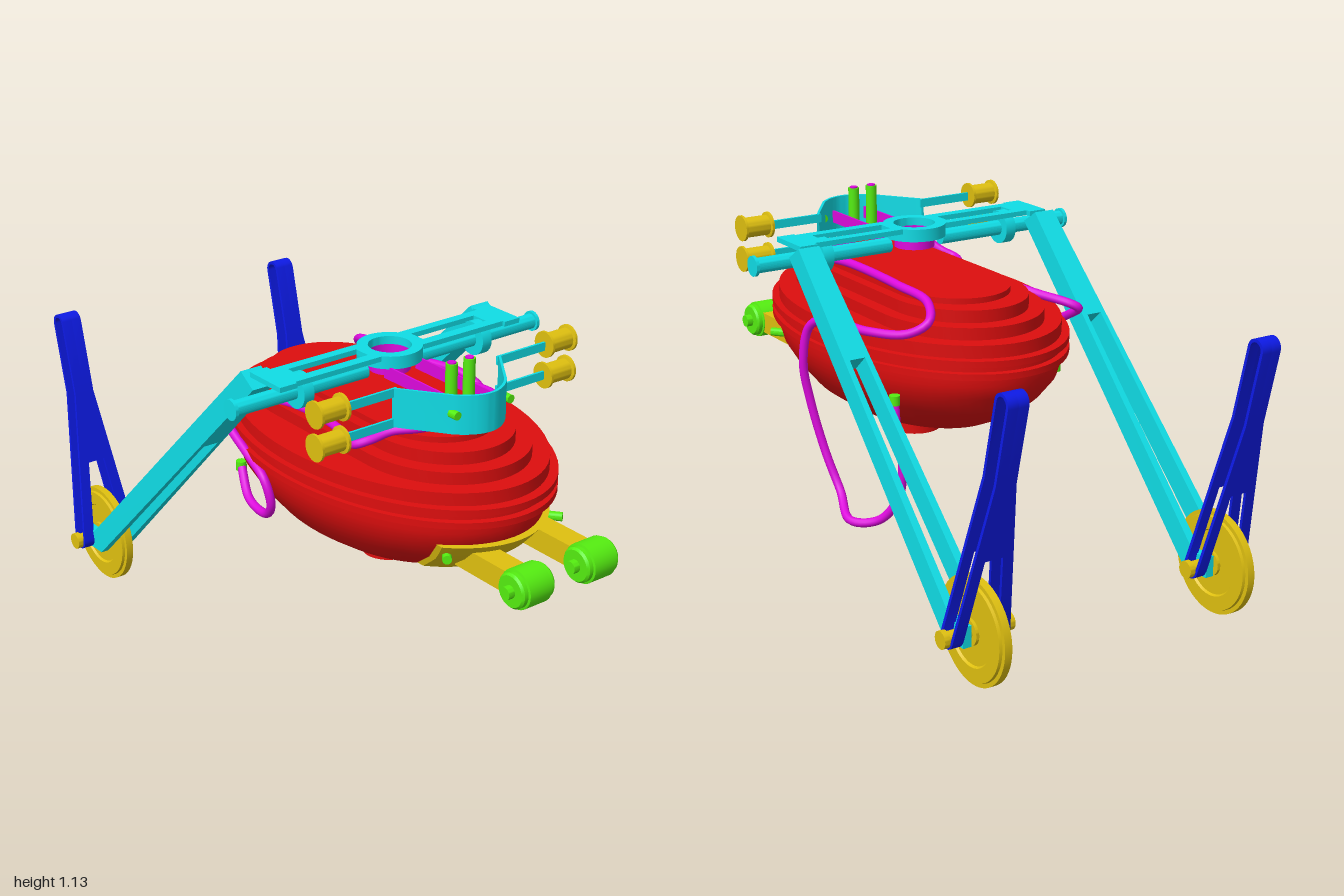
import * as THREE from 'three';
import { toCreasedNormals, mergeGeometries } from 'three/addons/utils/BufferGeometryUtils.js';

const mat = (color) => new THREE.MeshStandardMaterial({ color, side: THREE.DoubleSide });
const lerp = THREE.MathUtils.lerp;

export function createModel() {
  const root = new THREE.Group();
  const cyan = mat(0x10dde6), yellow = mat(0xdfc010), red = mat(0xdd0e0e);
  const blue = mat(0x0d1ae6), green = mat(0x55ee11), magenta = mat(0xdd0add);

  const add = (name, geo, material, x = 0, y = 0, z = 0) => {
    const m = new THREE.Mesh(geo, material);
    m.name = name;
    m.position.set(x, y, z);
    root.add(m);
    return m;
  };
  // profile of [radius, height] pairs turned about y
  const turned = (pts, seg = 32) =>
    toCreasedNormals(new THREE.LatheGeometry(pts.map((p) => new THREE.Vector2(...p)), seg), 0.5);
  // symmetric spool along x from half of its profile [radius, halfLength]
  const spool = (half, seg = 32) => {
    const pts = [...half.map(([r, l]) => [r, -l]), ...half.slice().reverse()];
    return turned(pts, seg).rotateZ(-Math.PI / 2);
  };
  const box = (w, h, d) => new THREE.BoxGeometry(w, h, d);
  // flat shape drawn in x,z and given thickness downward from the top
  const slab = (shape, depth, top) =>
    toCreasedNormals(new THREE.ExtrudeGeometry(shape, { depth, bevelEnabled: false, curveSegments: 24 }), 0.5)
      .rotateX(Math.PI / 2).translate(0, top, 0);
  const poly = (pts) => new THREE.Shape(pts.map((p) => new THREE.Vector2(...p)));
  // strip with a rectangular section; each section is {a: outer [y,z], b: inner [y,z], x0, x1}
  const strip = (sections) => {
    const pos = [], idx = [];
    for (const { a, b, x0, x1 } of sections) pos.push(x0, ...a, x1, ...a, x1, ...b, x0, ...b);
    const quad = (p, q, r, s) => idx.push(p, q, r, p, r, s);
    const n = sections.length - 1;
    for (let i = 0; i < n; i++)
      for (let k = 0; k < 4; k++) {
        const j = (k + 1) % 4, o = i * 4;
        quad(o + k, o + j, o + 4 + j, o + 4 + k);
      }
    quad(0, 3, 2, 1);
    quad(n * 4, n * 4 + 1, n * 4 + 2, n * 4 + 3);
    const g = new THREE.BufferGeometry();
    g.setAttribute('position', new THREE.Float32BufferAttribute(pos, 3));
    g.setIndex(idx);
    return toCreasedNormals(g, 0.5);
  };
  // two mirrored strips making a forked part
  const forked = (sections) => mergeGeometries([
    strip(sections.map((s) => ({ a: s.a, b: s.b, x0: s.inner, x1: s.outer }))),
    strip(sections.map((s) => ({ a: s.a, b: s.b, x0: -s.outer, x1: -s.inner }))),
  ]);

  // oval body with double flange
  const RATIO = 1.575, CZ = 0.2;
  const hull = [[0.1, 0.45], [0.15, 0.46], [0.22, 0.49], [0.29, 0.54], [0.335, 0.595], [0.37, 0.655], [0.38, 0.7]];
  add('body', turned([[0, 0.45], ...hull, [0.38, 0.73], [0.4, 0.73], [0.4, 0.75], [0.385, 0.75], [0.385, 0.77],
    [0.4, 0.77], [0.4, 0.79], [0.38, 0.79], [0.38, 0.83], [0, 0.83]], 72).scale(1, 1, RATIO), red, 0, 0, CZ);

  // stepped lid
  for (const [hx, hz, y0, y1] of [[0.26, 0.54, 0.82, 0.868], [0.215, 0.485, 0.86, 0.907], [0.18, 0.41, 0.9, 0.925]]) {
    const s = new THREE.Shape();
    s.absellipse(0, hz - hx * 1.2, hx, hx * 1.2, 0, Math.PI);
    s.absellipse(0, -(hz - hx * 1.2), hx, hx * 1.2, Math.PI, Math.PI * 2);
    add('lidStep', slab(s, y1 - y0, y1), red, 0, 0, CZ);
  }
  // hollow outlet below
  add('outlet', turned([[0.06, 0.445], [0.06, 0.385], [0.083, 0.385], [0.083, 0.435], [0.097, 0.435], [0.097, 0.46]]), red, 0, 0, 0.21);

  // curved front bracket following the hull
  const hullRadius = (y) => {
    const i = Math.max(1, hull.findIndex((p) => p[1] >= y));
    const [r0, y0] = hull[i - 1], [r1, y1] = hull[i];
    return lerp(r0, r1, (y - y0) / (y1 - y0));
  };
  const bracket = new THREE.BoxGeometry(1, 1, 1, 24, 4, 1);
  const bp = bracket.attributes.position;
  for (let i = 0; i < bp.count; i++) {
    const v = bp.getY(i) + 0.5, y = lerp(0.54, 0.66, v), r = hullRadius(y);
    const x = 0.03 + bp.getX(i) * lerp(0.41, 0.475, v);
    const z = CZ + RATIO * Math.sqrt(Math.max(0, r * r - x * x)) + (bp.getZ(i) > 0 ? 0.025 : -0.01);
    bp.setXYZ(i, x, y, z);
  }
  add('frontBracket', toCreasedNormals(bracket, 0.5), yellow);
  for (const x of [-0.18, 0.237]) {
    const bolt = add('bracketBolt', spool([[0, 0.025], [0.014, 0.025]], 16), green, x, 0.62, 0.7);
    bolt.rotation.y = x < 0 ? 0.9 : -0.9;
  }

  // front rollers on arms
  for (const x of [-0.09, 0.158]) {
    add('rollerArm', box(0.075, 0.07, 0.23), yellow, x, 0.6, 0.79);
    add('roller', spool([[0, 0.083], [0.02, 0.083], [0.02, 0.062], [0.048, 0.062], [0.054, 0.055],
      [0.054, 0.042], [0.061, 0.04]]), green, x, 0.6, 0.939);
  }

  // top frame: ring with slotted plates
  const ring = new THREE.Shape().absarc(0, 0.208, 0.1, 0, Math.PI * 2);
  ring.holes.push(new THREE.Path().absarc(0, 0.208, 0.066, 0, Math.PI * 2, true));
  add('frameRing', slab(ring, 0.04, 1.07), cyan);
  add('ringLiner', new THREE.CylinderGeometry(0.064, 0.064, 0.05, 32, 1, true), magenta, 0, 1.02, 0.208);
  for (const x of [-0.06, 0.06]) add('linkPlate', box(0.006, 0.04, 0.36), magenta, x, 1.015, 0.44);

  for (const s of [-1, 1]) {
    const plate = poly([[0.08, 0.148], [0.395, 0.148], [0.395, 0.13], [0.455, 0.13], [0.455, 0.28],
      [0.395, 0.28], [0.395, 0.27], [0.08, 0.27]].map(([x, z]) => [s * x, z]));
    plate.holes.push(poly([[0.105, 0.18], [0.355, 0.18], [0.355, 0.236], [0.105, 0.236]].map(([x, z]) => [s * x, z])));
    add('framePlate', slab(plate, 0.016, 1.07), cyan);
    add('frameLug', spool([[0, 0.018], [0.054, 0.018]]), cyan, s * 0.34, 1.012, 0.21);
    add('crossTube', spool([[0, 0.24], [0.024, 0.24]]), cyan, s * 0.335, 1.01, 0.208);
    add('tubeFlange', spool([[0, 0.005], [0.032, 0.005]]), cyan, s * 0.575, 1.01, 0.208);

    // forked arm sloping back to the wheel
    const X = s * 0.437;
    const arm = [[0, 0], [0.32, 0], [0.3201, 0.026], [1, 0.033]].map(([t, inner]) => ({
      a: [lerp(1.07, 0.2, t), lerp(0.11, -0.765, t)], b: [lerp(1.03, 0.135, t), lerp(0.17, -0.725, t)],
      inner, outer: lerp(0.036, 0.06, t) }));
    arm.push({ a: [0.2, -0.83], b: [0.135, -0.83], inner: 0.033, outer: 0.061 });
    add('rearArm', forked(arm), cyan, X);

    // wheel and axle
    add('wheel', spool([[0, 0.024], [0.04, 0.024], [0.04, 0.014], [0.1, 0.014], [0.105, 0.021], [0.148, 0.021],
      [0.15, 0.012], [0.163, 0.012]], 56), yellow, X, 0.165, -0.8);
    add('axle', spool([[0, 0.118], [0.027, 0.118], [0.027, 0.1], [0.02, 0.1]]), yellow, X, 0.165, -0.8);

    // upright strut: a band looped round the axle, forked toward its foot
    const A = [0.165, -0.8], L = 0.739, R = 0.032, T = 0.01, SPLIT = 0.26;
    const u = [0.974, -0.223], n = [0.223, 0.974];
    const station = (h, phi) => {
      const at = (r) => [0, 1].map((k) => A[k] + u[k] * h + r * (n[k] * Math.cos(phi) + u[k] * Math.sin(phi)));
      const t = THREE.MathUtils.clamp(h / 0.5, 0, 1);
      return { a: at(R), b: at(R - T), outer: lerp(0.097, 0.034, t),
        inner: h > SPLIT ? 0 : lerp(0.06, 0.03, h / SPLIT) };
    };
    const steps = [0, 0.13, SPLIT, SPLIT + 0.0001, 0.5, L], loop = [];
    steps.forEach((h) => loop.push(station(h, 0)));
    for (let i = 1; i < 12; i++) loop.push(station(L, (i / 12) * Math.PI));
    steps.slice().reverse().forEach((h) => loop.push(station(h, Math.PI)));
    for (let i = 1; i <= 12; i++) loop.push(station(0, Math.PI + (i / 12) * Math.PI));
    add('upright', forked(loop), blue, X);

    // side bars with spools at the front
    for (const y of [1.056, 0.962]) {
      add('spoolBar', box(0.22, 0.027, 0.008), cyan, s * 0.3, y, 0.475);
      add('spool', spool([[0, 0.05], [0.041, 0.05], [0.041, 0.042], [0.032, 0.04]]), yellow, s * 0.43, y === 1.056 ? 1.06 : 0.96, 0.473);
    }
    add('wallBolt', turned([[0, -0.015], [0.013, -0.015], [0.013, 0.015], [0, 0.015]], 16).rotateX(Math.PI / 2),
      green, s * 0.1, 1.013, 0.625);
  }

  // bent front wall
  const wall = new THREE.Shape();
  wall.moveTo(0.205, 0.475);
  wall.lineTo(0.1, 0.62);
  wall.quadraticCurveTo(0, 0.722, -0.1, 0.62);
  wall.lineTo(-0.205, 0.475);
  wall.lineTo(-0.196, 0.475);
  wall.lineTo(-0.095, 0.613);
  wall.quadraticCurveTo(0, 0.71, 0.095, 0.613);
  wall.lineTo(0.196, 0.475);
  add('frontWall', slab(wall, 0.12, 1.07), cyan);

  // pegs feeding the hoses
  for (const x of [-0.037, 0.03]) {
    add('peg', new THREE.CylinderGeometry(0.018, 0.018, 0.13, 20), green, x, 1.06, 0.535);
    add('pegTop', new THREE.CylinderGeometry(0.013, 0.013, 0.18, 16), magenta, x, 1.039, 0.535);
  }

  // hoses
  const hose = (name, pts) => {
    const curve = new THREE.CatmullRomCurve3(pts.map((p) => new THREE.Vector3(...p)));
    add(name, new THREE.TubeGeometry(curve, 160, 0.014, 12), magenta);
    const end = pts[pts.length - 1];
    add('hoseFitting', new THREE.CylinderGeometry(0.017, 0.017, 0.03, 16), green, ...end);
  };
  hose('leftHose', [[0.03, 0.98, 0.535], [0.05, 0.945, 0.53], [0.15, 0.945, 0.52], [0.2, 0.94, 0.45], [0.18, 0.94, 0.3],
    [0.19, 0.94, 0], [0.19, 0.925, -0.17], [0.23, 0.885, -0.235], [0.28, 0.85, -0.2], [0.35, 0.84, -0.08],
    [0.39, 0.84, 0.1], [0.41, 0.8, 0.17], [0.42, 0.68, 0.195], [0.4, 0.55, 0.19], [0.37, 0.38, 0.15],
    [0.355, 0.27, 0.09], [0.385, 0.215, -0.02], [0.33, 0.235, -0.11], [0.295, 0.33, -0.17],
    [0.295, 0.47, -0.185], [0.31, 0.56, -0.18], [0.31, 0.64, -0.17]]);
  hose('rightHose', [[-0.037, 0.98, 0.535], [-0.05, 0.945, 0.53], [-0.14, 0.945, 0.52], [-0.2, 0.935, 0.47],
    [-0.24, 0.9, 0.42], [-0.27, 0.88, 0.38], [-0.24, 0.875, 0.3], [-0.22, 0.875, 0.15], [-0.24, 0.875, 0],
    [-0.28, 0.86, -0.08], [-0.33, 0.845, -0.18], [-0.355, 0.83, -0.195], [-0.365, 0.79, -0.13], [-0.375, 0.73, 0],
    [-0.385, 0.69, 0.09], [-0.375, 0.61, 0.11], [-0.36, 0.555, 0.06], [-0.345, 0.56, -0.05], [-0.31, 0.63, -0.14]]);

  return root;
}
